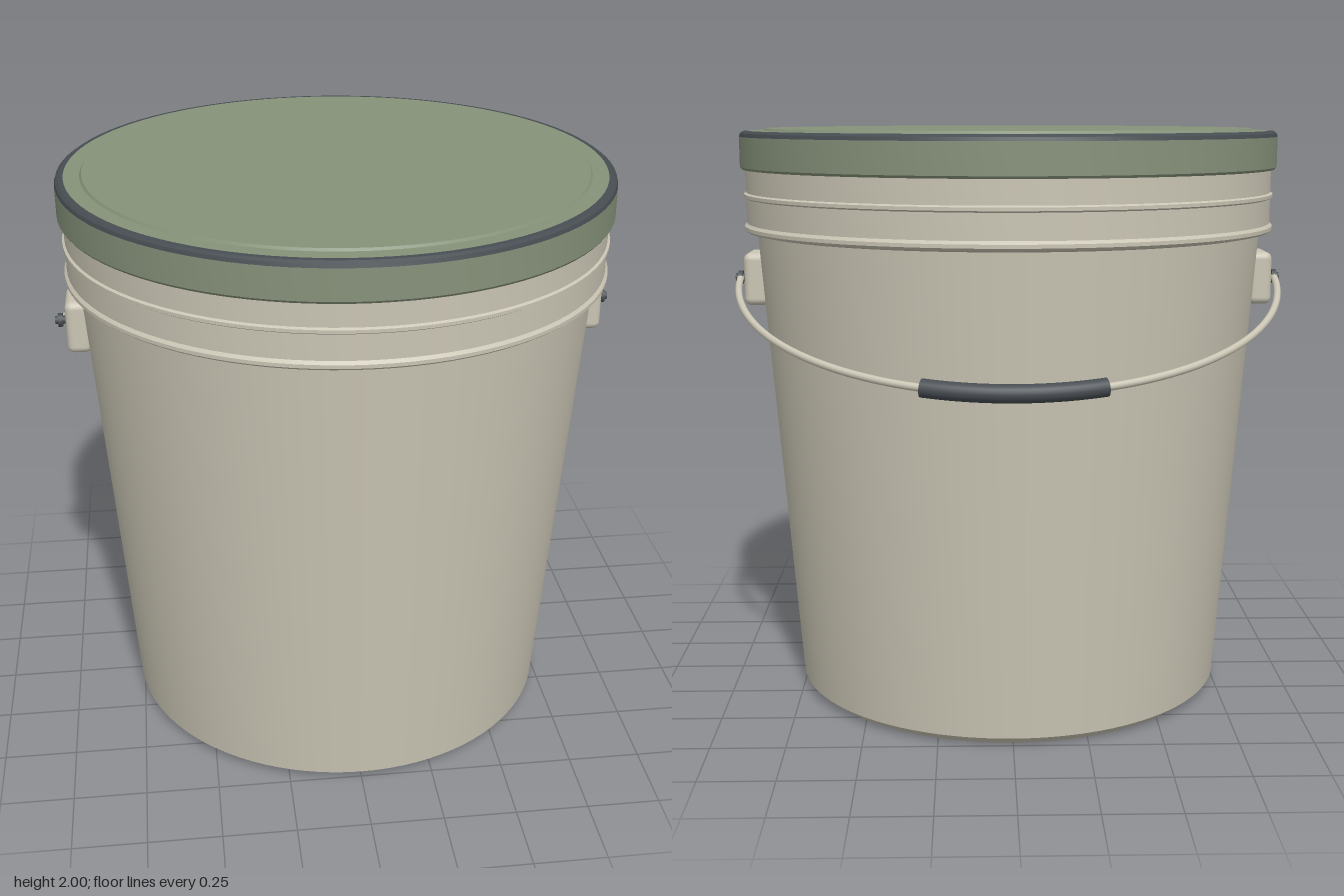
import * as THREE from 'three';
import { toCreasedNormals } from 'three/addons/utils/BufferGeometryUtils.js';
import { RoundedBoxGeometry } from 'three/addons/geometries/RoundedBoxGeometry.js';

const material = (name, color) => {
  const m = new THREE.MeshStandardMaterial({ color });
  m.name = name;
  return m;
};

export function createModel() {
  const plastic = material('warm grey plastic', 0xcac5b4);
  const green = material('sage green', 0x86927a);
  const dark = material('dark slate', 0x474d52);

  const model = new THREE.Group();
  model.name = 'bucket';

  const add = (name, geometry, mat, parent = model) => {
    const mesh = new THREE.Mesh(geometry, mat);
    mesh.name = name;
    parent.add(mesh);
    return mesh;
  };
  // Turned part from [radius, height] pairs, listed bottom to top
  const turned = (points) => toCreasedNormals(
    new THREE.LatheGeometry(points.map(([r, y]) => new THREE.Vector2(r, y)), 96), 0.45);

  // Tapered tub with chamfered foot
  add('tub', turned([[0, 0], [0.725, 0], [0.762, 0.03], [0.886, 1.645]]), plastic);

  // Collar with two raised ribs
  add('collar', turned([
    [0.88, 1.64], [0.92, 1.648], [0.93, 1.656], [0.93, 1.668], [0.921, 1.678],
    [0.921, 1.762], [0.929, 1.767], [0.929, 1.778], [0.921, 1.783], [0.921, 1.88],
  ]), plastic);

  // Lid: skirt, dark seal around the edge, flat top with a raised panel
  add('lidSkirt', turned([[0.9, 1.862], [0.934, 1.862], [0.94, 1.87], [0.94, 1.972]]), green);
  add('lidSeal', turned([[0.94, 1.972], [0.936, 1.984], [0.926, 1.991], [0.91, 1.992]]), dark);
  add('lidTop', turned([[0.91, 1.992], [0.856, 1.992], [0.85, 2], [0, 2]]), green);

  // Handle mounts and pivot pins on both sides
  for (const side of [1, -1]) {
    const mount = new THREE.Group();
    mount.name = side > 0 ? 'leftMount' : 'rightMount';
    mount.position.set(side * 0.895, 1.473, 0);
    model.add(mount);
    add('mountBlock', new RoundedBoxGeometry(0.085, 0.186, 0.186, 3, 0.025), plastic, mount);
    const pin = add('pivotPin', new THREE.CylinderGeometry(0.014, 0.014, 0.06, 16), dark, mount);
    const head = add('pinHead', new THREE.CylinderGeometry(0.024, 0.024, 0.016, 16), dark, mount);
    pin.rotation.z = head.rotation.z = Math.PI / 2;
    pin.position.x = side * 0.052;
    head.position.x = side * 0.064;
  }

  // Wire bail resting against the back, with a grip at its middle
  const bail = (from, to) => new THREE.CatmullRomCurve3(
    Array.from({ length: 33 }, (_, i) => {
      const a = from + (to - from) * i / 32;
      return new THREE.Vector3(0.96 * Math.cos(a), 1.475 - 0.268 * Math.sin(a), -0.875 * Math.sin(a));
    }));
  add('handleWire', new THREE.TubeGeometry(bail(0, Math.PI), 96, 0.0125, 12), plastic);

  const half = 0.305;
  const gripCurve = bail(Math.PI / 2 - half, Math.PI / 2 + half);
  add('handleGrip', new THREE.TubeGeometry(gripCurve, 32, 0.03, 20), dark);
  for (const t of [0, 1]) {
    const cap = add('gripEnd', new THREE.CircleGeometry(0.03, 20), dark);
    const outward = gripCurve.getTangent(t).multiplyScalar(t ? 1 : -1);
    cap.position.copy(gripCurve.getPoint(t));
    cap.quaternion.setFromUnitVectors(new THREE.Vector3(0, 0, 1), outward);
  }

  return model;
}
